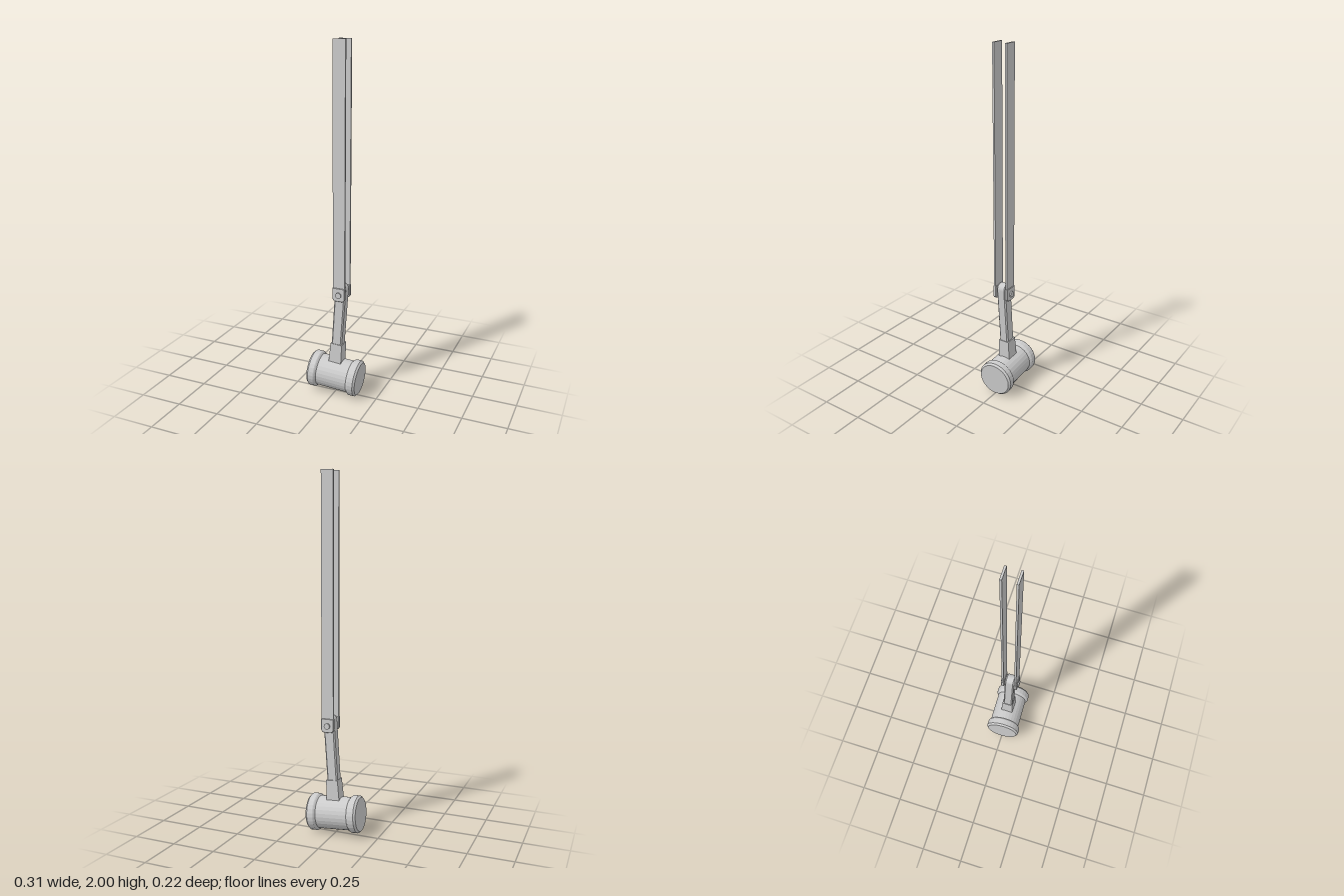
import * as THREE from 'three';

const material = new THREE.MeshStandardMaterial({ color: 0xcccccc, flatShading: true });

function part(parent, name, geometry, x = 0, y = 0, z = 0) {
  const mesh = new THREE.Mesh(geometry, material);
  mesh.name = name;
  mesh.position.set(x, y, z);
  parent.add(mesh);
  return mesh;
}

// Extrude a shape in z, centred, with a bevel that stays inside the outline
function slab(shape, depth, bevel) {
  const geometry = new THREE.ExtrudeGeometry(shape, {
    depth: depth - 2 * bevel, bevelEnabled: true, bevelThickness: bevel,
    bevelSize: bevel, bevelOffset: -bevel, bevelSegments: 1, curveSegments: 8,
  });
  return geometry.translate(0, 0, -depth / 2 + bevel);
}

// Plate with rounded lower corners
function bracketShape(w, top, bottom, r) {
  const s = new THREE.Shape();
  s.moveTo(w, top);
  s.lineTo(-w, top);
  s.lineTo(-w, bottom + r);
  s.absarc(-w + r, bottom + r, r, Math.PI, Math.PI * 1.5, false);
  s.lineTo(w - r, bottom);
  s.absarc(w - r, bottom + r, r, -Math.PI / 2, 0, false);
  s.closePath();
  return s;
}

// Bar with a half-round top
function handleShape(w, bottom, top) {
  const s = new THREE.Shape();
  s.moveTo(-w * 0.95, bottom);
  s.lineTo(w * 0.95, bottom);
  s.lineTo(w, top - w);
  s.absarc(0, top - w, w, 0, Math.PI, false);
  s.closePath();
  return s;
}

export function createModel() {
  const model = new THREE.Group();
  model.name = 'hangingMallet';

  // Hammer swings slightly off vertical
  const hammer = new THREE.Group();
  hammer.name = 'hammer';
  hammer.position.set(0, 0.115, -0.001);
  hammer.rotation.z = -0.07;
  model.add(hammer);

  // Barrel head with a chamfered collar at each end
  const half = [[0, 0.148], [0.094, 0.148], [0.104, 0.137], [0.104, 0.105], [0.101, 0.1], [0.092, 0.092]];
  const profile = [
    ...half.map(([r, y]) => new THREE.Vector2(r, -y)),
    ...half.map(([r, y]) => new THREE.Vector2(r, y)).reverse(),
  ];
  const head = part(hammer, 'head', new THREE.LatheGeometry(profile, 28).rotateZ(-Math.PI / 2));
  head.rotation.y = 0.03;

  // Socket, narrowing a little towards the top
  const socket = new THREE.CylinderGeometry(0.034 * Math.SQRT2, 0.038 * Math.SQRT2, 0.12, 4).rotateY(Math.PI / 4);
  part(hammer, 'socket', socket.scale(1, 1, 0.95), 0, 0.138, 0);

  // Handle
  const handle = part(hammer, 'handle', slab(handleShape(0.032, 0.08, 0.565), 0.056, 0.007));
  handle.rotation.x = 0.008;

  // Pivot pin and the paired hangers
  const px = 0.036, py = 0.625, pz = 0.003;
  part(model, 'pivotPin', new THREE.CylinderGeometry(0.017, 0.017, 0.112, 16).rotateX(Math.PI / 2), px, py, pz);
  for (const side of [-1, 1]) {
    const name = side > 0 ? 'front' : 'back';
    part(model, name + 'Bracket', slab(bracketShape(0.037, 0.04, -0.038, 0.02), 0.018, 0.002), px, py, pz + side * 0.039);
    part(model, name + 'Strap', new THREE.BoxGeometry(0.07, 1.36, 0.011), px, 1.32, pz + side * 0.038);
  }
  return model;
}
